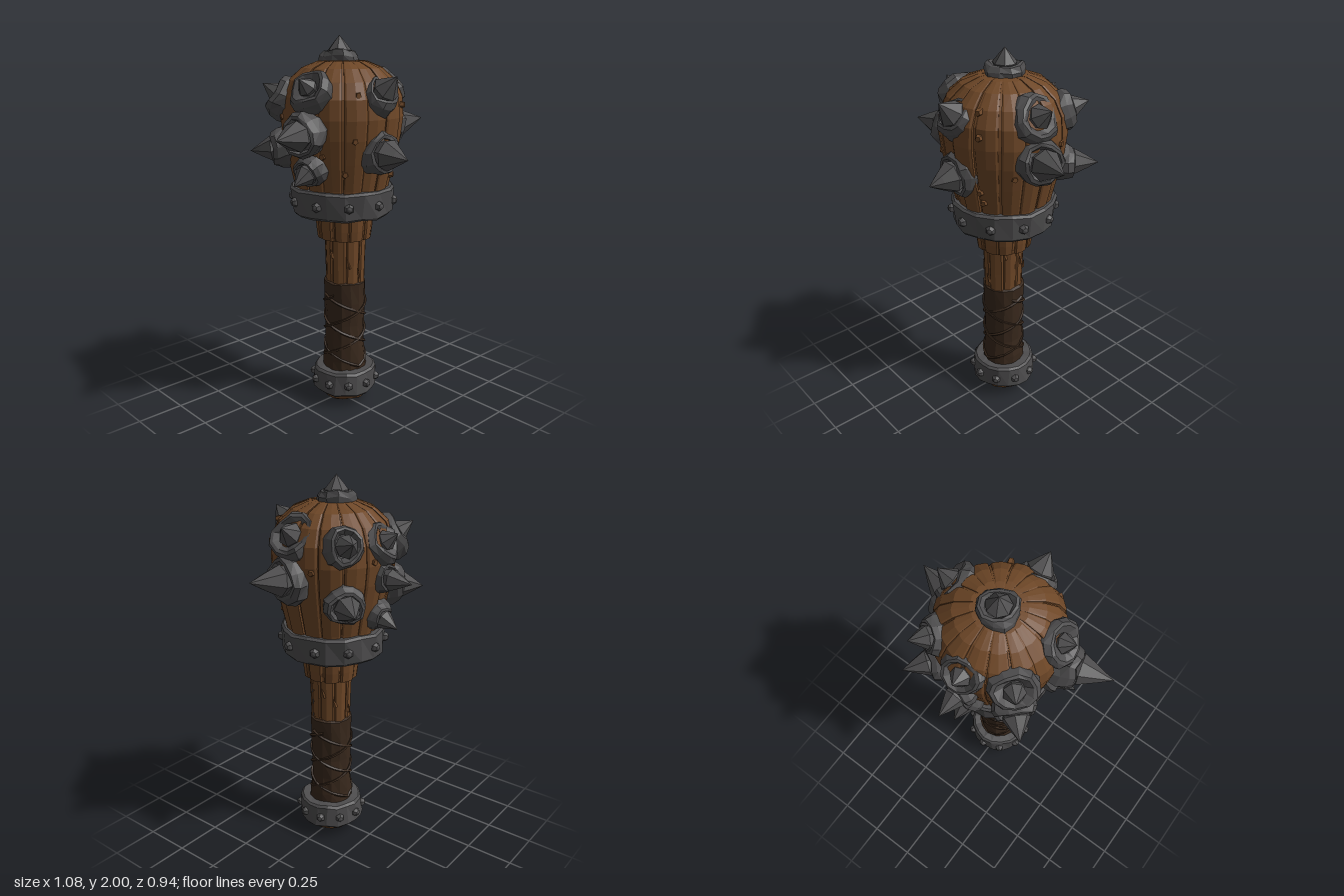
import * as THREE from 'three';

const mat = (name, color) => {
  const m = new THREE.MeshStandardMaterial({ color });
  m.name = name;
  return m;
};

// small seeded random numbers
let seed = 7;
const rnd = () => (seed = (seed * 16807) % 2147483647) / 2147483647;

// faceted normals
const facet = (g) => {
  const f = g.index ? g.toNonIndexed() : g;
  f.computeVertexNormals();
  return f;
};

// hand-hewn wobble; depends only on position, so seams stay closed
function rough(g, amount, phase = 0) {
  const p = g.attributes.position;
  for (let i = 0; i < p.count; i++) {
    const x = p.getX(i), y = p.getY(i), z = p.getZ(i);
    p.setXYZ(i,
      x + amount * Math.sin(31 * y + 23 * z + phase),
      y + amount * Math.sin(29 * x + 37 * z + phase * 2),
      z + amount * Math.sin(27 * y + 33 * x + phase * 3));
  }
  return g;
}

const lathe = (pts, sides) =>
  new THREE.LatheGeometry(pts.map(([r, y]) => new THREE.Vector2(r, y)), sides);

// one wooden stave: profile swept over the angle a0..a1, with sunken side edges
function stave(profile, a0, a1, depth, lift) {
  const pos = [], idx = [], mid = (a0 + a1) / 2;
  const cols = [[a0, -depth], [a0, -0.006], [a0 + (a1 - a0) * 0.1, 0], [mid, 0.004],
    [a1 - (a1 - a0) * 0.1, 0], [a1, -0.006], [a1, -depth]];
  profile.forEach(([r, y]) => cols.forEach(([a, d]) => {
    const q = Math.max(r + d + lift, 0.01);
    pos.push(Math.sin(a) * q, y, Math.cos(a) * q);
  }));
  const n = cols.length;
  for (let i = 0; i < profile.length - 1; i++)
    for (let j = 0; j < n - 1; j++) {
      const a = i * n + j, b = a + 1, c = a + n, d = c + 1;
      idx.push(a, b, d, a, d, c);
    }
  const g = new THREE.BufferGeometry();
  g.setAttribute('position', new THREE.Float32BufferAttribute(pos, 3));
  g.setIndex(idx);
  return facet(g);
}

export function createModel() {
  const wood = mat('wood', 0x6e4727);
  const iron = mat('iron', 0x4e4d4e);
  const leather = mat('leather', 0x38281c);

  const root = new THREE.Group();
  root.name = 'spikedClub';
  const section = (name, x, z) => {
    const g = new THREE.Group();
    g.name = name;
    g.position.set(x, 0, z);
    root.add(g);
    return g;
  };
  const head = section('headSection', 0.014, 0.004);
  const handle = section('handleSection', 0.024, 0.012);
  const add = (name, g, m, parent) => {
    const mesh = new THREE.Mesh(g, m);
    mesh.name = name;
    parent.add(mesh);
    return mesh;
  };

  // staves around a core
  function staves(parent, name, profile, count, gap, depth) {
    const group = new THREE.Group();
    group.name = name;
    parent.add(group);
    const inner = profile.map(([r, y]) => [Math.max(r - depth * 0.75, 0), y]);
    add(name + 'Core', facet(lathe(inner, count * 2)), wood, group);
    for (let i = 0; i < count; i++) {
      const step = (Math.PI * 2) / count, a = i * step + rnd() * step * 0.15;
      add(name + 'Stave', stave(profile, a + gap, a + step * 0.98 - gap, depth, rnd() * 0.012 - 0.006), wood, group);
    }
  }

  // head, neck and shaft
  staves(head, 'head', [[0.12, 1.1], [0.235, 1.14], [0.248, 1.24], [0.28, 1.38], [0.306, 1.5], [0.318, 1.6],
    [0.31, 1.7], [0.272, 1.78], [0.205, 1.84], [0.125, 1.872], [0.03, 1.88]], 16, 0.007, 0.02);
  staves(handle, 'neck', [[0.09, 0.955], [0.143, 0.945], [0.15, 1.0], [0.16, 1.14]], 10, 0.012, 0.014);
  staves(handle, 'shaft', [[0.102, 0.66], [0.105, 0.8], [0.112, 1.0]], 8, 0.014, 0.01);

  // rounded wooden butt
  add('butt', facet(rough(lathe([[0, 0], [0.09, 0.002], [0.12, 0.02], [0.135, 0.055], [0.13, 0.1]], 14), 0.003)),
    wood, handle);

  // leather grip with crossing cords
  add('grip', facet(rough(lathe([[0.09, 0.16], [0.122, 0.17], [0.117, 0.24], [0.109, 0.34], [0.108, 0.45],
    [0.112, 0.58], [0.115, 0.695], [0.1, 0.702]], 14), 0.003)), leather, handle);
  for (const dir of [-1, 1])
    for (const start of [0, Math.PI]) {
      const pts = [];
      for (let i = 0; i <= 24; i++) {
        const t = i / 24, a = start + dir * t * Math.PI * 2.6;
        const r = 0.11 + 0.007 * Math.pow(2 * t - 1, 2);
        pts.push(new THREE.Vector3(Math.sin(a) * r, 0.21 + t * 0.42, Math.cos(a) * r));
      }
      add('gripCord', facet(new THREE.TubeGeometry(new THREE.CatmullRomCurve3(pts), 48, 0.008, 4)), leather, handle);
    }

  // iron bands with studs
  function band(parent, name, y0, y1, r0, r1, inner, studs, size) {
    const b = 0.012;
    add(name, facet(rough(lathe([[inner, y0], [r0 - b, y0], [r0, y0 + b], [r1, y1 - b], [r1 - b, y1],
      [inner, y1], [inner, y0]], 18), 0.004, y0)), iron, parent);
    for (let i = 0; i < studs; i++) {
      const a = (i / studs) * Math.PI * 2, r = (r0 + r1) / 2;
      const s = add(name + 'Stud',
        facet(lathe([[size, -0.012], [size, 0.006], [size * 0.6, 0.02], [0, 0.024]], 6)), iron, parent);
      s.position.set(Math.sin(a) * r, (y0 + y1) / 2, Math.cos(a) * r);
      s.rotation.set(Math.PI / 2, a, 0, 'YXZ');
    }
  }
  band(head, 'headBand', 1.082, 1.232, 0.265, 0.278, 0.22, 10, 0.026);
  band(handle, 'buttBand', 0.06, 0.195, 0.178, 0.172, 0.105, 10, 0.024);

  // spike on a stepped iron flange, standing at base and pointing at tip
  const up = new THREE.Vector3(0, 1, 0);
  function spike(base, tip, R, r) {
    const b = new THREE.Vector3(...base), d = new THREE.Vector3(...tip).sub(b), len = d.length();
    const g = new THREE.Group();
    g.name = 'spike';
    g.position.copy(b);
    g.quaternion.setFromUnitVectors(up, d.normalize());
    const phase = rnd() * 6;
    add('spikeFlange', facet(rough(lathe([[R * 0.9, -0.08], [R, -0.03], [R, 0.015], [R * 0.86, 0.042],
      [R * 0.72, 0.045], [r * 0.9, 0.022], [0, 0.022]], 11), 0.008, phase)), iron, g);
    const foot = Math.min(0.055, len * 0.35);
    add('spikePoint', facet(lathe([[r * 0.75, 0], [r, foot], [r * 0.52, foot + (len - foot) * 0.5], [0, len]], 7)), iron, g);
    root.add(g);
  }
  [
    // front
    [[0.01, 1.43, 0.285], [0.015, 1.415, 0.468], 0.115, 0.082],
    [[0.01, 1.71, 0.28], [0.01, 1.81, 0.39], 0.1, 0.07],
    // left
    [[0.325, 1.525, 0.04], [0.54, 1.55, 0.09], 0.122, 0.08],
    [[0.275, 1.725, 0.035], [0.38, 1.79, 0.025], 0.125, 0.062],
    // back left
    [[0.215, 1.42, -0.22], [0.325, 1.41, -0.37], 0.102, 0.068],
    [[0.21, 1.7, -0.21], [0.28, 1.74, -0.32], 0.1, 0.058],
    // back
    [[0.005, 1.525, -0.3], [0.01, 1.52, -0.47], 0.08, 0.056],
    [[0, 1.69, -0.275], [-0.01, 1.75, -0.37], 0.112, 0.052],
    [[0, 1.33, -0.26], [0, 1.275, -0.39], 0.08, 0.052],
    // back right
    [[-0.225, 1.43, -0.2], [-0.345, 1.41, -0.32], 0.11, 0.07],
    [[-0.215, 1.69, -0.2], [-0.285, 1.76, -0.28], 0.12, 0.055],
    // right
    [[-0.33, 1.53, 0.09], [-0.54, 1.53, 0.15], 0.112, 0.078],
    [[-0.26, 1.735, 0.075], [-0.345, 1.8, 0.085], 0.115, 0.05],
    [[-0.26, 1.35, 0.07], [-0.39, 1.285, 0.09], 0.085, 0.055],
    // crown
    [[0.005, 1.885, -0.01], [0.005, 2, -0.01], 0.1, 0.062],
  ].forEach((s) => spike(...s));

  // small wooden pegs and chips on the head: angle, height, radius
  [[0.45, 1.77, 0.28], [0.5, 1.66, 0.315], [0.45, 1.36, 0.275], [0.5, 1.3, 0.262], [-0.5, 1.72, 0.3],
    [-0.55, 1.5, 0.306], [-0.7, 1.33, 0.268], [1.05, 1.45, 0.294], [2.9, 1.62, 0.315], [-2.0, 1.6, 0.315],
    [1.9, 1.58, 0.315], [-1.1, 1.42, 0.286]].forEach(([a, y, r]) => {
    const p = add('peg', facet(new THREE.CylinderGeometry(0.014, 0.022, 0.03, 5)), wood, head);
    p.position.set(Math.sin(a) * r, y, Math.cos(a) * r);
    p.rotation.set(Math.PI / 2, a, 0, 'YXZ');
  });

  // splinters on the shaft
  for (let i = 0; i < 7; i++) {
    const a = i * 2.4, y = 0.76 + (i % 4) * 0.055;
    const c = add('splinter', facet(new THREE.ConeGeometry(0.012, 0.06, 4)), wood, handle);
    c.position.set(Math.sin(a) * 0.106, y, Math.cos(a) * 0.106);
    c.rotation.set(0.2, a, 0.3, 'YXZ');
  }

  return root;
}
